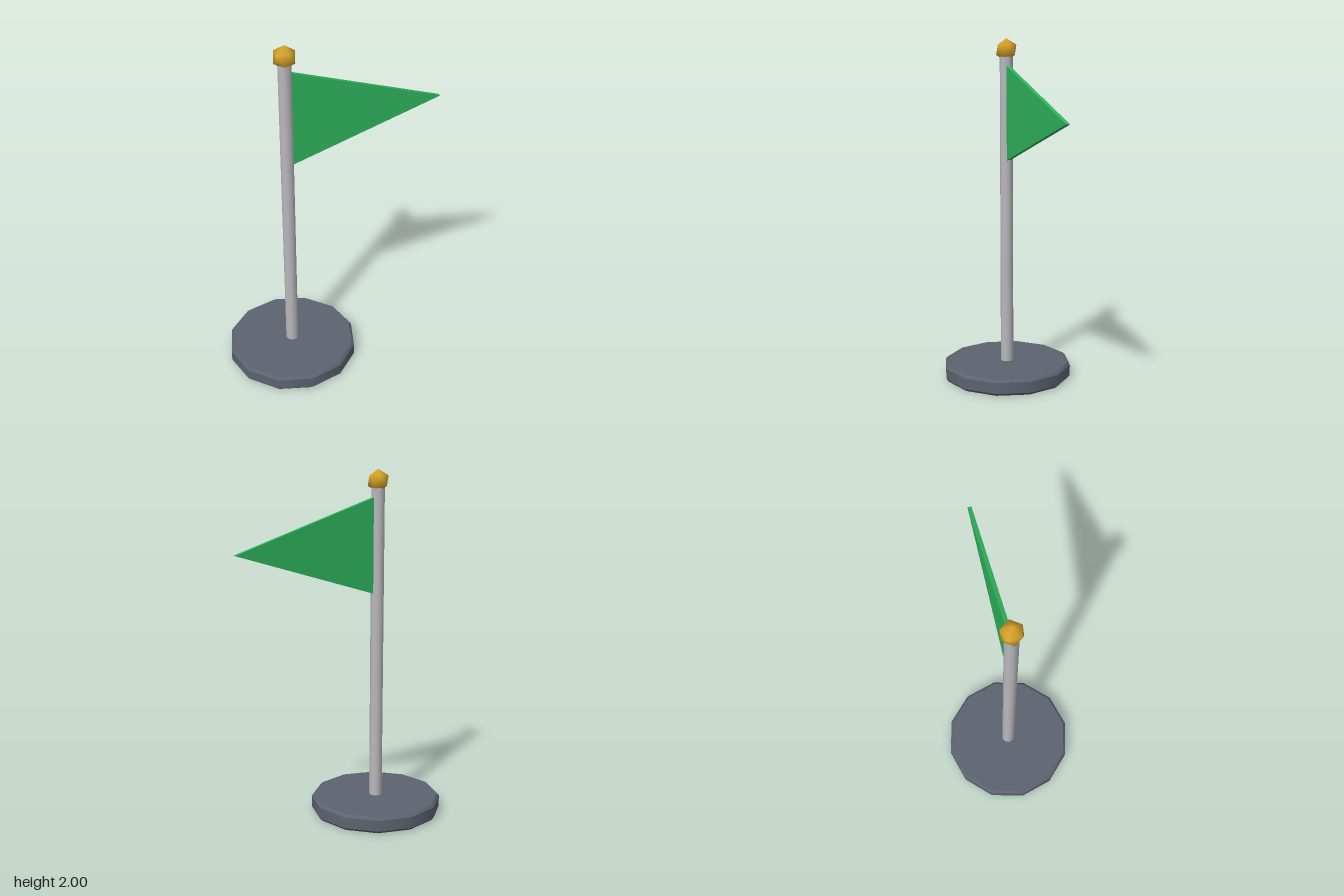
import * as THREE from 'three';

const material = (name, color) => {
  const m = new THREE.MeshStandardMaterial({ color });
  m.name = name;
  return m;
};

export function createModel() {
  const slate = material('slate', 0x5c6470);
  const silver = material('silver', 0xb9b9bd);
  const gold = material('gold', 0xd9a52b);
  const green = material('green', 0x2eb35c);

  const model = new THREE.Group();
  model.name = 'pennant';
  const poleX = -0.25;

  const add = (parent, name, geometry, mat, x, y) => {
    const mesh = new THREE.Mesh(geometry, mat);
    mesh.name = name;
    mesh.position.set(x, y, 0);
    parent.add(mesh);
    return mesh;
  };

  // Twelve-sided base: straight rim between two chamfers
  const base = new THREE.Group();
  base.name = 'base';
  model.add(base);
  const R = 0.38, r = 0.366, height = 0.095, bevel = 0.015;
  const ring = (name, top, bottom, y0, y1, open) => add(base, name,
    new THREE.CylinderGeometry(top, bottom, y1 - y0, 12, 1, open), slate, poleX, (y0 + y1) / 2);
  ring('baseLowerChamfer', R, r, 0, bevel, false);
  ring('baseRim', R, R, bevel, height - bevel, true);
  ring('baseUpperChamfer', r, R, height - bevel, height, false);

  // Ten-sided pole
  const poleBottom = 0.08, poleTop = 1.9;
  add(model, 'pole',
    new THREE.CylinderGeometry(0.0375, 0.0375, poleTop - poleBottom, 10, 1, false, Math.PI / 2),
    silver, poleX, (poleBottom + poleTop) / 2);

  // Finial: icosahedron standing on a corner, softly shaded
  const ball = new THREE.IcosahedronGeometry(0.065, 0);
  ball.rotateZ(-Math.atan(2 / (1 + Math.sqrt(5))));
  const p = ball.attributes.position;
  const n = new THREE.Vector3();
  for (let i = 0; i < p.count; i++) {
    n.fromBufferAttribute(p, i).normalize();
    ball.attributes.normal.setXYZ(i, n.x, n.y, n.z);
  }
  add(model, 'finial', ball, gold, poleX, 1.935);

  // Triangular flag
  const triangle = new THREE.Shape([
    new THREE.Vector2(-0.22, 1.305),
    new THREE.Vector2(0.63, 1.575),
    new THREE.Vector2(-0.22, 1.845),
  ]);
  const flag = new THREE.ExtrudeGeometry(triangle, { depth: 0.022, bevelEnabled: false });
  flag.translate(0, 0, -0.011);
  add(model, 'flag', flag, green, 0, 0);

  return model;
}
